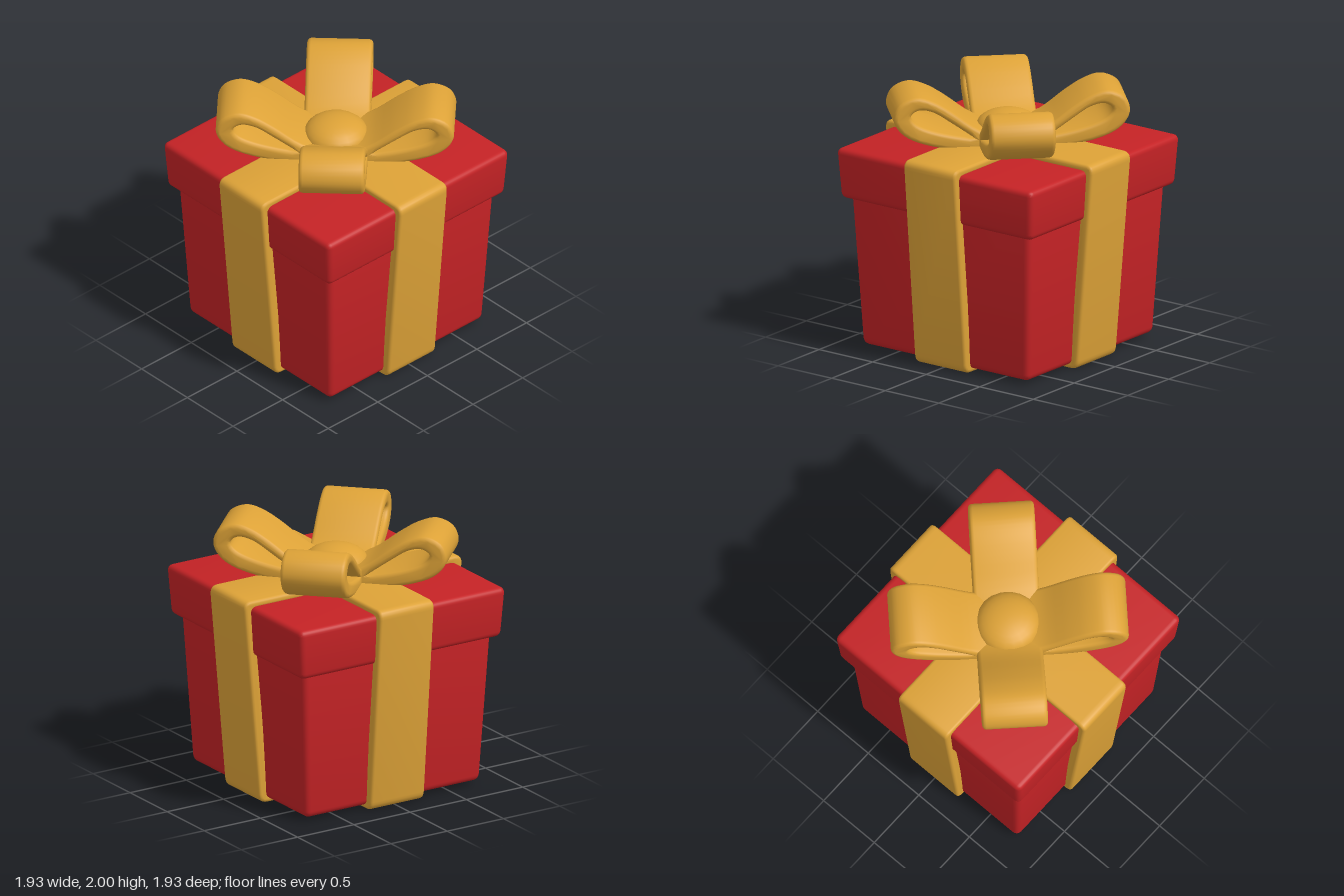
import * as THREE from 'three';
import { toCreasedNormals } from 'three/addons/utils/BufferGeometryUtils.js';
import { RoundedBoxGeometry } from 'three/addons/geometries/RoundedBoxGeometry.js';

const red = new THREE.MeshStandardMaterial({ name: 'red card', color: 0xc42225 });
const gold = new THREE.MeshStandardMaterial({ name: 'gold ribbon', color: 0xdda237 });

function addMesh(parent, name, geometry, material) {
  const mesh = new THREE.Mesh(geometry, material);
  mesh.name = name;
  parent.add(mesh);
  return mesh;
}

// Rounded square block whose half width goes from bottom to top
function taperedBlock(y0, y1, bottom, top, radius) {
  const h = y1 - y0;
  const geo = new RoundedBoxGeometry(2 * top, h, 2 * top, 3, radius);
  const p = geo.attributes.position;
  for (let i = 0; i < p.count; i++) {
    const t = p.getY(i) / h + 0.5;
    const s = THREE.MathUtils.lerp(bottom / top, 1, t);
    p.setXYZ(i, p.getX(i) * s, p.getY(i) + (y0 + y1) / 2, p.getZ(i) * s);
  }
  return toCreasedNormals(geo, 0.6);
}

// Trapezoid outline with rounded corners, used for the wrapped band
function trapezoid(path, y0, y1, bottom, top, r) {
  const c = [[-bottom, y0], [bottom, y0], [top, y1], [-top, y1]].map(a => new THREE.Vector2(...a));
  c.forEach((v, i) => {
    const a = c[(i + 3) % 4].clone().sub(v).setLength(r).add(v);
    const b = c[(i + 1) % 4].clone().sub(v).setLength(r).add(v);
    if (i === 0) path.moveTo(a.x, a.y);
    else path.lineTo(a.x, a.y);
    path.quadraticCurveTo(v.x, v.y, b.x, b.y);
  });
  path.closePath();
  return path;
}

// Extrusion centred on z = 0 with softly rounded edges
function softExtrude(shape, width, bevel, curveSegments) {
  const geo = new THREE.ExtrudeGeometry(shape, {
    depth: width - 2 * bevel, curveSegments,
    bevelEnabled: true, bevelThickness: bevel, bevelSize: bevel, bevelOffset: -bevel, bevelSegments: 3,
  });
  geo.translate(0, 0, -width / 2 + bevel);
  return toCreasedNormals(geo, 0.7);
}

const toPoints = (list, n) =>
  new THREE.SplineCurve(list.map(a => new THREE.Vector2(...a))).getPoints(n);

export function createModel() {
  const model = new THREE.Group();
  model.name = 'giftBox';

  // Box and overhanging lid
  addMesh(model, 'box', taperedBlock(0.03, 1.3, 0.775, 0.841, 0.05), red);
  addMesh(model, 'lid', taperedBlock(1.175, 1.565, 0.89, 0.915, 0.045), red);

  // Two crossing bands around the box
  const band = trapezoid(new THREE.Shape(), 0, 1.61, 0.83, 0.972, 0.07);
  band.holes.push(trapezoid(new THREE.Path(), 0.055, 1.55, 0.745, 0.885, 0.05));
  const bandGeo = softExtrude(band, 0.48, 0.022, 6);
  for (let i = 0; i < 2; i++) {
    addMesh(model, i ? 'sideBand' : 'frontBand', bandGeo, gold).rotation.y = i * Math.PI / 2;
  }

  // Four bow loops on the diagonals, each a teardrop with a teardrop opening
  const bow = new THREE.Group();
  bow.name = 'bow';
  model.add(bow);
  const loop = new THREE.Shape(toPoints([
    [0, 1.57], [0.3, 1.572], [0.55, 1.605], [0.74, 1.665], [0.845, 1.745], [0.885, 1.845],
    [0.84, 1.95], [0.72, 2.0], [0.59, 1.965], [0.45, 1.88], [0.24, 1.73], [0, 1.65],
  ], 44));
  loop.holes.push(new THREE.Path(toPoints([
    [0.28, 1.67], [0.45, 1.79], [0.58, 1.875], [0.69, 1.9], [0.755, 1.855],
    [0.71, 1.79], [0.6, 1.74], [0.45, 1.7], [0.28, 1.668],
  ], 32).slice(0, -1)));
  const loopGeo = softExtrude(loop, 0.49, 0.03, 6);
  for (let i = 0; i < 4; i++) {
    addMesh(bow, 'bowLoop' + (i + 1), loopGeo, gold).rotation.y = Math.PI / 4 + i * Math.PI / 2;
  }

  // Flattened knot in the middle
  const knot = addMesh(bow, 'knot', new THREE.SphereGeometry(0.243, 20, 14), gold);
  knot.scale.y = 0.56;
  knot.position.y = 1.68;

  return model;
}
